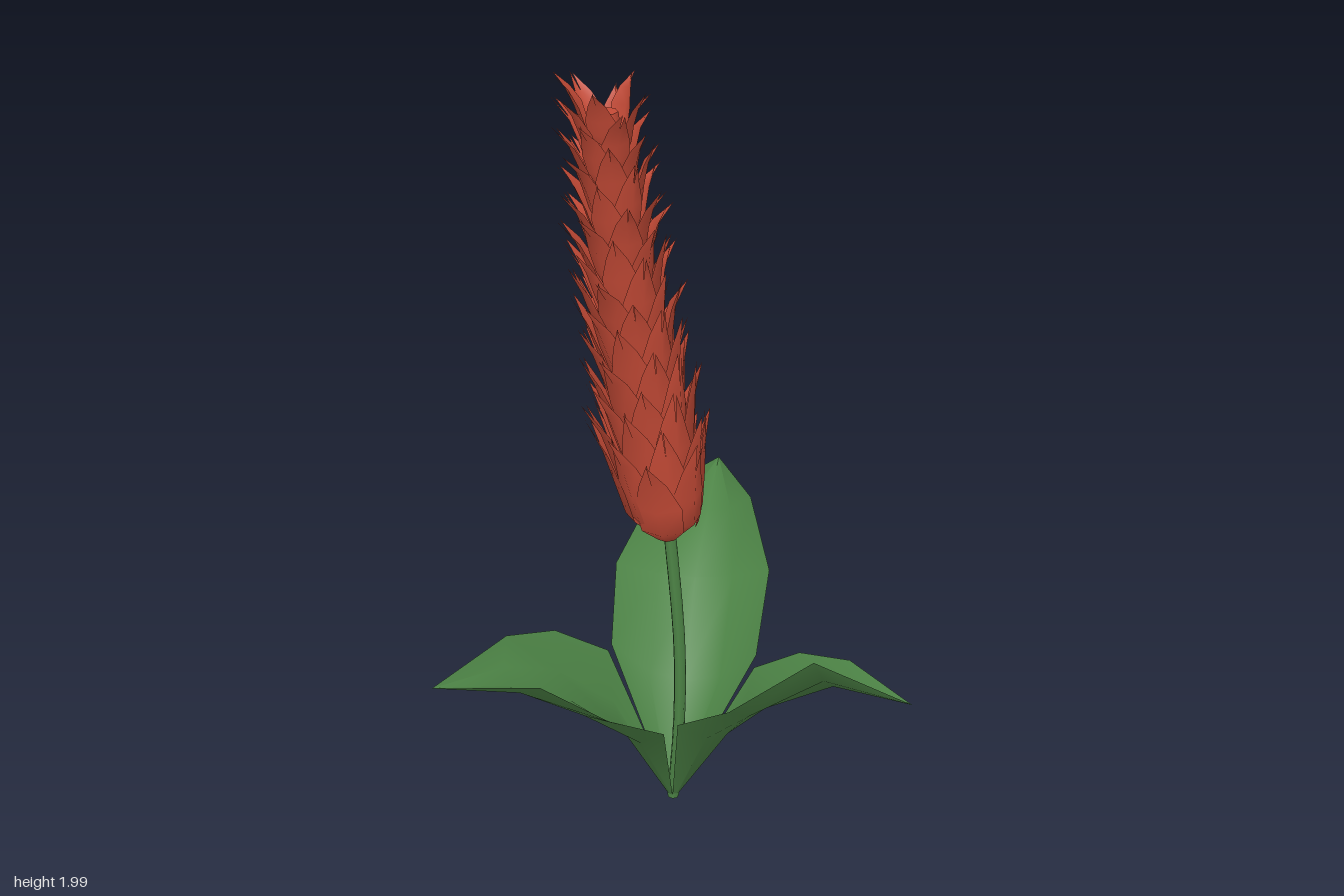
import * as THREE from 'three';

const V = (x, y, z) => new THREE.Vector3(x, y, z);

// Surface through rows of points (every row has the same length)
function loft(rows) {
  const n = rows[0].length, index = [];
  for (let i = 0; i < rows.length - 1; i++) {
    for (let j = 0; j < n - 1; j++) {
      const a = i * n + j, b = a + 1, c = a + n, d = c + 1;
      if (i < rows.length - 2) index.push(a, b, d, a, d, c);
      else index.push(a, b, c); // last row is the pointed tip
    }
  }
  const g = new THREE.BufferGeometry().setFromPoints(rows.flat());
  g.setIndex(index);
  g.computeVertexNormals();
  return g;
}

// Leaf rows: [left edge, midrib, right edge], curved across as a parabola
function leafGeometry(sections, tip) {
  const us = [-1, -0.5, 0, 0.5, 1];
  const rows = sections.map(([l, m, r]) => us.map(u => V(0, 0, 0)
    .addScaledVector(V(...l), u * (u - 1) / 2)
    .addScaledVector(V(...m), 1 - u * u)
    .addScaledVector(V(...r), u * (u + 1) / 2)));
  rows.push(us.map(() => V(...tip)));
  return loft(rows);
}

// Centre line of the flower spike at height y
const axis = new THREE.CatmullRomCurve3([
  V(-0.037, 0.83, 0.24), V(-0.075, 1.1, 0.225), V(-0.135, 1.45, 0.21), V(-0.195, 2.0, 0.19),
]);
function axisAt(y) {
  const p = axis.getPointAt(THREE.MathUtils.clamp((y - 0.83) / 1.17, 0, 1));
  p.y = y;
  return p;
}

// Pointed bract wrapping the spike, with a tip that flares outward
function bractGeometry(y0, length, angle, radius, baseRadius, flare) {
  const profile = [ // height share, radius, half angle
    [0, baseRadius, 0.45],
    [0.16, radius * 0.9, 0.62],
    [0.42, radius * 1.04, 0.6],
    [0.72, radius * 1.08 + flare * 0.25, 0.28],
    [1, radius + flare, 0],
  ];
  return loft(profile.map(([t, r, half]) => [-1, 0, 1].map(u => {
    const a = angle + u * half, p = axisAt(y0 + t * length);
    const rr = r * (u === 0 ? 1.06 : 0.97);
    return p.add(V(Math.sin(a) * rr, 0, Math.cos(a) * rr));
  })));
}

export function createModel() {
  const green = new THREE.MeshStandardMaterial({ color: 0x4d8446, side: THREE.DoubleSide });
  green.name = 'leaf green';
  const red = new THREE.MeshStandardMaterial({ color: 0xc44a36, side: THREE.DoubleSide });
  red.name = 'flower red';

  const model = new THREE.Group();
  model.name = 'floweringPlant';
  const add = (name, geometry, material, parent = model) => {
    const mesh = new THREE.Mesh(geometry, material);
    mesh.name = name;
    parent.add(mesh);
  };

  // Stem
  const stemPath = new THREE.CatmullRomCurve3([
    V(-0.03, 0, 0.215), V(-0.012, 0.25, 0.23), V(-0.01, 0.5, 0.237), V(-0.037, 0.88, 0.24),
  ]);
  add('stem', new THREE.TubeGeometry(stemPath, 10, 0.016, 7), green);

  // Three broad leaves from the foot of the stem
  add('backLeaf', leafGeometry([
    [[-0.045, 0.01, 0.21], [-0.03, 0, 0.2], [-0.015, 0.01, 0.21]],
    [[-0.205, 0.4, 0.1], [-0.01, 0.27, 0.07], [0.185, 0.4, 0.12]],
    [[-0.215, 0.53, -0.11], [0, 0.47, -0.15], [0.208, 0.55, -0.07]],
    [[-0.13, 0.65, -0.3], [0.02, 0.57, -0.35], [0.145, 0.665, -0.27]],
  ], [0.035, 0.635, -0.567]), green);
  add('leftLeaf', leafGeometry([
    [[-0.02, 0.01, 0.2], [-0.02, 0, 0.215], [-0.03, 0.01, 0.23]],
    [[0.18, 0.36, 0.12], [0.12, 0.25, 0.27], [0, 0.36, 0.4]],
    [[0.3, 0.44, 0.16], [0.22, 0.37, 0.32], [0.135, 0.46, 0.475]],
    [[0.43, 0.505, 0.285], [0.39, 0.49, 0.385], [0.34, 0.61, 0.465]],
  ], [0.583, 0.52, 0.493]), green);
  add('rightLeaf', leafGeometry([
    [[-0.03, 0.01, 0.23], [-0.04, 0, 0.215], [-0.04, 0.01, 0.2]],
    [[-0.035, 0.33, 0.4], [-0.155, 0.24, 0.27], [-0.21, 0.4, 0.13]],
    [[-0.155, 0.43, 0.502], [-0.29, 0.4, 0.36], [-0.34, 0.5, 0.2]],
    [[-0.325, 0.55, 0.54], [-0.42, 0.49, 0.45], [-0.44, 0.57, 0.345]],
  ], [-0.587, 0.55, 0.565]), green);

  // Flower spike: a slim core covered by a spiral of overlapping bracts
  const spike = new THREE.Group();
  spike.name = 'flowerSpike';
  model.add(spike);
  const core = new THREE.CylinderGeometry(0.035, 0.065, 1.04, 8, 8);
  const pos = core.attributes.position;
  for (let i = 0; i < pos.count; i++) {
    const y = pos.getY(i) + 1.38, c = axisAt(y);
    pos.setXYZ(i, pos.getX(i) + c.x, y, pos.getZ(i) + c.z);
  }
  core.computeVertexNormals();
  add('spikeCore', core, red, spike);

  let seed = 7;
  const rand = () => (seed = (seed * 16807) % 2147483647) / 2147483647;
  const count = 92, ring = 6;
  for (let i = 0; i < count; i++) {
    const s = Math.max(0, (i - ring) / (count - 1 - ring));
    const y0 = i < ring ? 0.83 + i * 0.004 : 0.855 + s * 1.005;
    const length = (0.29 - 0.16 * s) * (0.9 + 0.17 * rand());
    const radius = 0.103 - 0.043 * s;
    const baseRadius = i < ring ? 0.045 : radius * 0.75;
    const flare = 0.035 + 0.025 * rand();
    add('bract', bractGeometry(y0, Math.min(length, 2 - y0), i * 2.39996, radius, baseRadius, flare), red, spike);
  }
  return model;
}
